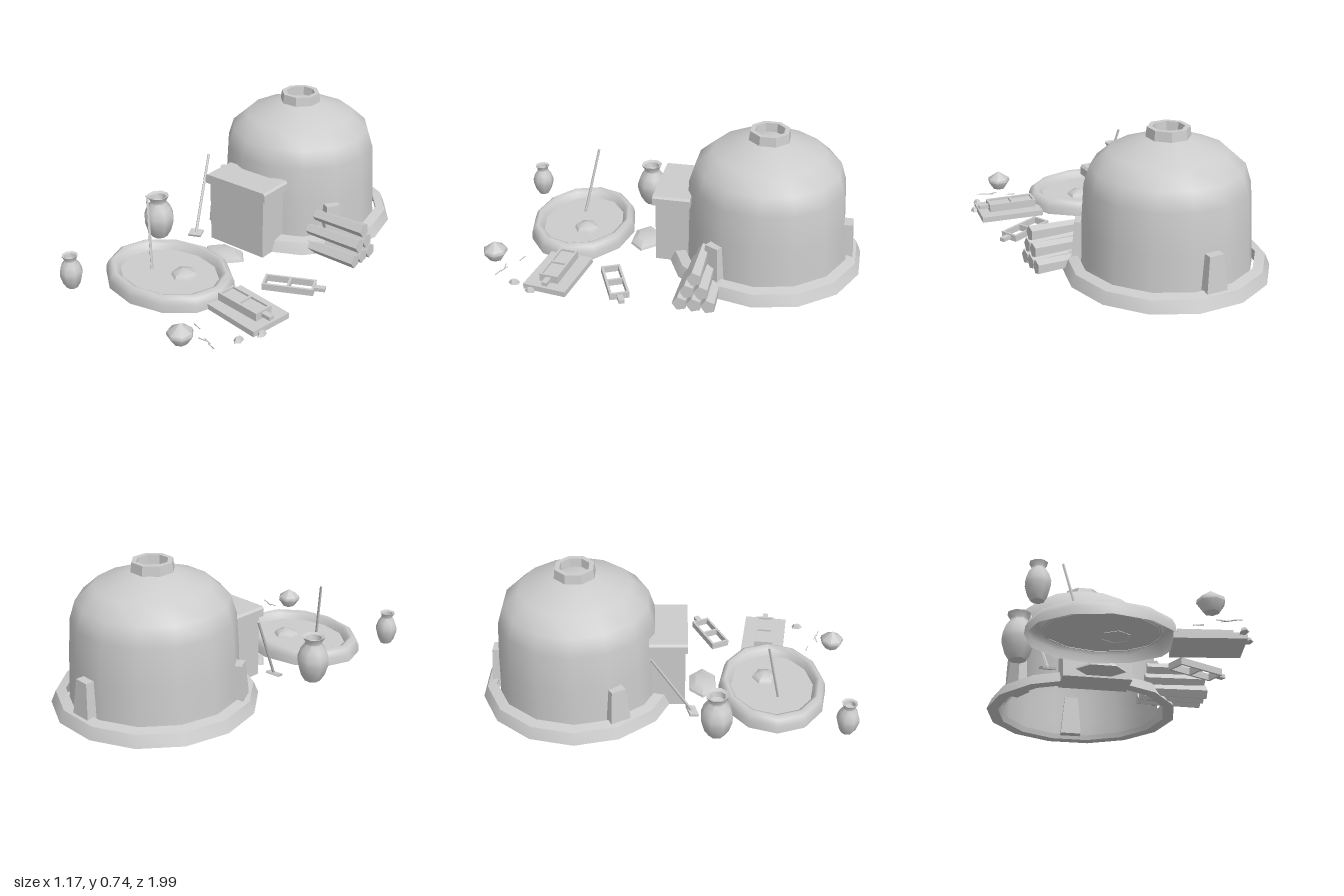
import * as THREE from 'three';
import { toCreasedNormals } from 'three/addons/utils/BufferGeometryUtils.js';

export function createModel() {
  const root = new THREE.Group();
  const clay = new THREE.MeshStandardMaterial({ color: 0xcccccc, side: THREE.DoubleSide });
  clay.name = 'paleClay';

  // crease: angle above which edges stay sharp (0 = fully faceted)
  const add = (name, geo, pos = [0, 0, 0], crease = 0.3, parent = root) => {
    const mesh = new THREE.Mesh(crease === null ? geo : toCreasedNormals(geo, crease), clay);
    mesh.name = name;
    mesh.position.set(...pos);
    parent.add(mesh);
    return mesh;
  };
  const lathe = (pts, sides, start = 0, sweep = Math.PI * 2) =>
    new THREE.LatheGeometry(pts.map(p => new THREE.Vector2(...p)), sides, start, sweep);
  const box = (name, w, h, d, pos, parent = root) =>
    add(name, new THREE.BoxGeometry(w, h, d), pos, null, parent);
  // tapered rod between two points
  const rod = (name, a, b, ra, rb, sides) => {
    const A = new THREE.Vector3(...a), B = new THREE.Vector3(...b);
    const dir = B.clone().sub(A);
    const mesh = add(name, new THREE.CylinderGeometry(rb, ra, dir.length(), sides),
      A.clone().add(B).multiplyScalar(0.5).toArray());
    mesh.quaternion.setFromUnitVectors(new THREE.Vector3(0, 1, 0), dir.normalize());
    return mesh;
  };

  // Domed hut
  const hut = new THREE.Group();
  hut.name = 'hut';
  hut.position.set(-0.057, 0, -0.49);
  root.add(hut);
  const step = Math.PI / 14;
  add('dome', lathe([[0.435, 0.02], [0.43, 0.1], [0.425, 0.25], [0.412, 0.45], [0.382, 0.545],
    [0.295, 0.622], [0.115, 0.69], [0, 0.7]], 14, step), [0, 0, 0], null, hut);
  // base curb, open behind the porch
  add('baseCurb', lathe([[0.527, 0], [0.502, 0.06], [0.45, 0.072], [0.465, 0], [0.527, 0]],
    13, step, step * 26), [0, 0, 0], 0.5, hut);
  add('roofVent', lathe([[0.113, 0.685], [0.106, 0.74], [0.08, 0.74], [0.075, 0.69]],
    8, Math.PI / 8), [0, 0, 0], 0.3, hut);

  // Three tapered buttresses leaning on the wall
  for (let i = 0; i < 3; i++) {
    const a = Math.PI + i * Math.PI * 2 / 3;
    const g = new THREE.BoxGeometry(0.12, 0.225, 0.08);
    const p = g.attributes.position;
    for (let k = 0; k < p.count; k++) if (p.getY(k) > 0) {
      p.setX(k, p.getX(k) * 0.65);
      if (p.getZ(k) > 0) p.setZ(k, 0.022);
    }
    add('buttress', g, [Math.sin(a) * 0.437, 0.1325, Math.cos(a) * 0.437], 0.3, hut).rotation.y = a;
  }

  // Porch with lintel slab
  box('porch', 0.36, 0.34, 0.175, [-0.06, 0.17, -0.0125]);
  const slab = new THREE.Shape();
  [[-0.2, 0], [0.2, 0], [0.2, 0.04], [0.19, 0.052], [-0.19, 0.052], [-0.2, 0.04]]
    .forEach(([x, y], i) => i ? slab.lineTo(x, y) : slab.moveTo(x, y));
  add('lintelSlab', new THREE.ExtrudeGeometry(slab, { depth: 0.2, bevelEnabled: false }),
    [-0.06, 0.338, -0.112]);

  // Stacked logs: rows of three, two and one
  for (let row = 0; row < 3; row++) {
    for (let i = 0; i < 3 - row; i++) {
      const z = -0.215 + (i - (2 - row) / 2) * 0.072, y = 0.04 + row * 0.077;
      rod('log', [0.22 + row * 0.02, y - 0.006, z], [0.567, y, z], 0.03, 0.039, 5);
    }
  }

  // Mixing basin: rounded oval rim and flat floor
  const basin = [-0.12, 0, 0.545];
  const rim = lathe([[1, 0], [0.99, 0.04], [0.95, 0.07], [0.88, 0.083], [0.81, 0.07], [0.76, 0.035]], 12);
  rim.scale(0.365, 1, 0.29);
  add('basinRim', rim, basin, null);
  const floor = new THREE.CircleGeometry(1, 12);
  floor.rotateX(-Math.PI / 2);
  floor.scale(0.29, 1, 0.23);
  add('basinFloor', floor, [basin[0], 0.038, basin[2]], null);
  add('clayLump', lathe([[0.072, 0.035], [0.06, 0.055], [0, 0.075]], 6), [-0.05, 0, 0.51], 0.8);
  rod('stirringStick', [-0.222, 0.038, 0.568], [-0.305, 0.405, 0.495], 0.008, 0.007, 5);

  // Hoe leaning on the hut
  rod('hoeHandle', [-0.322, 0.02, 0.11], [-0.4, 0.402, -0.1], 0.008, 0.007, 5);
  const blade = box('hoeBlade', 0.075, 0.012, 0.05, [-0.322, 0.018, 0.112]);
  blade.rotation.set(0.3, 0.3, 0);

  // Two jars
  const jar = (x, z, r, h) => add('jar', lathe([[0, 0], [0.5, 0], [0.78, 0.16], [0.98, 0.4], [0.98, 0.52],
    [0.8, 0.7], [0.52, 0.84], [0.52, 0.89], [0.7, 1], [0.5, 0.97], [0.42, 0.85], [0, 0.82]]
    .map(([a, b]) => [a * r, b * h]), 8, Math.PI / 8), [x, 0, z], 0.9);
  jar(-0.485, 0.232, 0.087, 0.247);
  jar(-0.465, 0.9, 0.06, 0.182);

  // Brick mould: frame, divider and handle; optionally filled
  const mould = (x, y, z, turn, h, filled) => {
    const g = new THREE.Group();
    g.name = 'brickMould';
    g.position.set(x, y, z);
    g.rotation.y = turn;
    root.add(g);
    for (const s of [-1, 1]) box('mouldSide', 0.265, h, 0.012, [0, h / 2, s * 0.045], g);
    for (const s of [-1, 0, 1]) box('mouldCross', 0.012, h, 0.09, [s * 0.1265, h / 2, 0], g);
    box('mouldHandle', 0.055, 0.02, 0.03, [0.158, h / 2, 0], g);
    if (filled) for (const s of [-1, 1])
      box('wetBrick', 0.115, h * 0.75, 0.078, [s * 0.063, h * 0.375, 0], g);
  };
  mould(0.41, 0, 0.228, 0.437, 0.035, false);
  box('workBoard', 0.345, 0.03, 0.235, [0.385, 0.015, 0.54]).rotation.y = -0.15;
  mould(0.37, 0.03, 0.54, -0.12, 0.043, true);

  // Doorstep stone
  const stone = lathe([[0, 0], [1, 0], [0.95, 0.012], [0.55, 0.03], [0, 0.032]], 6, Math.PI / 6);
  stone.scale(0.128, 1, 0.082);
  add('doorstep', stone, [-0.06, 0, 0.172], 0.5);

  // Rounded clod with a peaked top, plus small pebbles
  add('clod', lathe([[0, 0], [0.036, 0], [0.066, 0.045], [0.062, 0.063], [0, 0.105]], 7),
    [0.296, 0, 0.922], 0.9);
  for (const [x, z, r] of [[0.5, 0.745, 0.03], [0.555, 0.64, 0.028]]) {
    const g = new THREE.CylinderGeometry(r * 0.6, r, 0.018, 5);
    g.scale(0.75, 1, 1.1);
    add('pebble', g, [x, 0.009, z]);
  }

  // Scattered straws
  for (const [x, z, turn] of [[0.275, 0.78, -0.3], [0.365, 0.845, 0.1], [0.39, 0.84, -0.35], [0.43, 0.86, -0.3]])
    box('straw', 0.05, 0.004, 0.004, [x, 0.003, z]).rotation.y = turn;

  return root;
}
